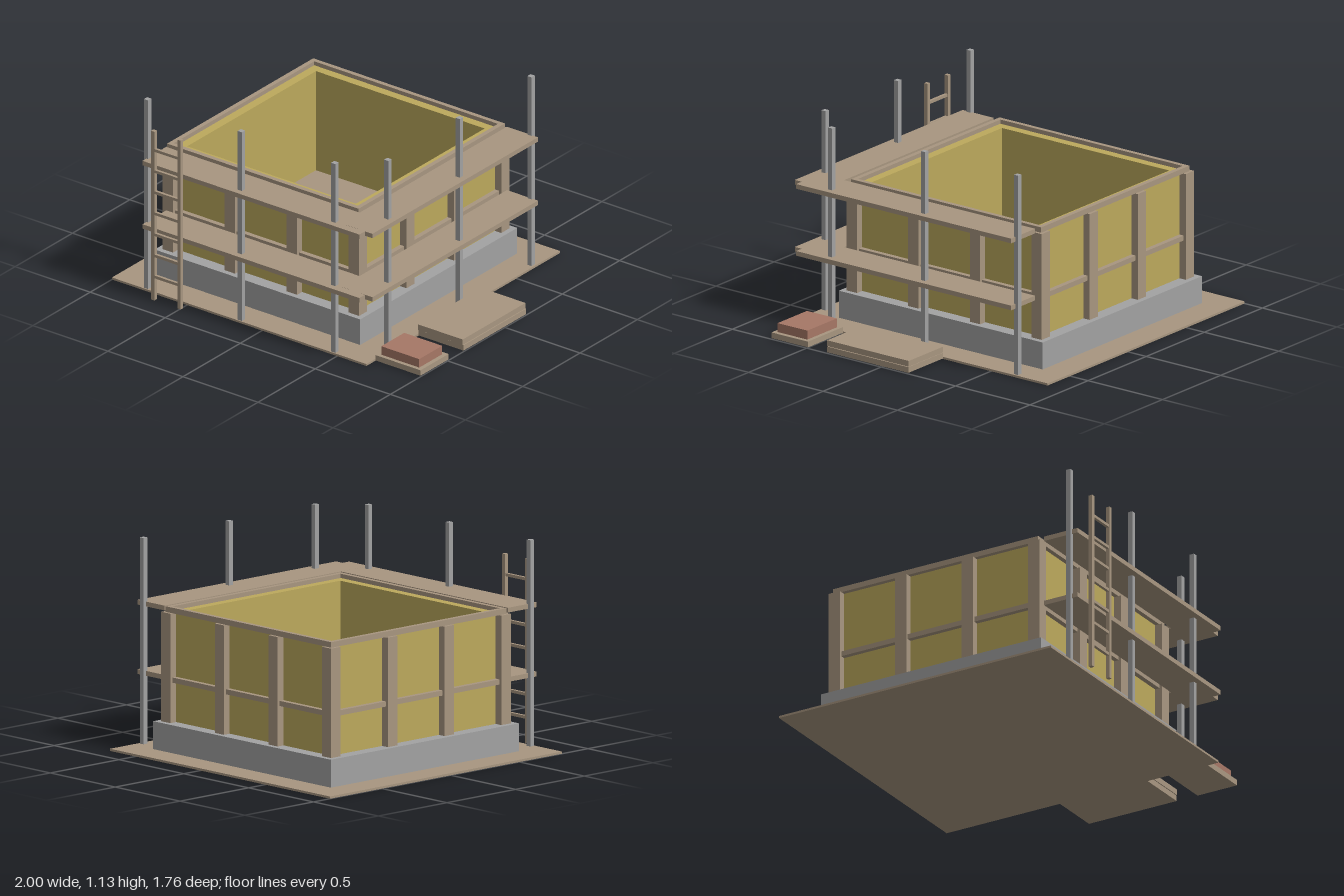
import * as THREE from 'three';

const mat = (name, color) => Object.assign(new THREE.MeshStandardMaterial({ color }), { name });

export function createModel() {
  const timber = mat('timber', 0xa89680);
  const concrete = mat('concreteAndSteel', 0xa2a2a2);
  const plywood = mat('yellowPanel', 0xbca95c);
  const brick = mat('brick', 0xa67766);

  const root = new THREE.Group();
  root.name = 'constructionSite';
  const group = (name) => {
    const g = new THREE.Group();
    g.name = name;
    root.add(g);
    return g;
  };

  // Box given by its limits on each axis
  const box = (parent, name, material, [x0, x1], [y0, y1], [z0, z1]) => {
    const m = new THREE.Mesh(new THREE.BoxGeometry(x1 - x0, y1 - y0, z1 - z0), material);
    m.position.set((x0 + x1) / 2, (y0 + y1) / 2, (z0 + z1) / 2);
    m.name = name;
    parent.add(m);
    return m;
  };

  // Square ring with a square hole, standing between two heights
  const square = (target, h) => {
    target.moveTo(-h, -h);
    target.lineTo(h, -h);
    target.lineTo(h, h);
    target.lineTo(-h, h);
    target.closePath();
    return target;
  };
  const ring = (parent, name, material, outer, inner, y0, y1) => {
    const shape = square(new THREE.Shape(), outer);
    shape.holes.push(square(new THREE.Path(), inner));
    const geo = new THREE.ExtrudeGeometry(shape, { depth: y1 - y0, bevelEnabled: false });
    geo.rotateX(-Math.PI / 2);
    const m = new THREE.Mesh(geo, material);
    m.position.y = y0;
    m.name = name;
    parent.add(m);
  };

  // Ground sheet
  box(root, 'ground', timber, [-1, 0.695], [0, 0.012], [-0.88, 0.81]);

  // Building: foundation, floor, walls and framing
  const house = group('building');
  house.position.set(-0.153, 0, -0.035);
  const span = (h) => [-h, h];
  box(house, 'foundation', concrete, span(0.685), [0.004, 0.163], span(0.685));
  box(house, 'floor', timber, span(0.57), [0.16, 0.176], span(0.57));
  ring(house, 'walls', plywood, 0.612, 0.562, 0.163, 0.762);
  ring(house, 'middleRail', timber, 0.64, 0.605, 0.38, 0.408);
  ring(house, 'topRail', timber, 0.638, 0.612, 0.755, 0.785);

  // Studs: four to a side, corners shared
  const steps = [-0.62, -0.207, 0.207, 0.62];
  for (const x of steps) for (const z of steps) {
    if (Math.max(Math.abs(x), Math.abs(z)) < 0.6) continue;
    box(house, 'stud', timber, [x - 0.035, x + 0.035], [0.163, 0.755], [z - 0.035, z + 0.035]);
  }

  // Scaffold: two storeys of decks around the front and left side
  const scaffold = group('scaffold');
  for (const y of [0.38, 0.755]) {
    box(scaffold, 'frontDeck', timber, [-0.775, 0.67], [y, y + 0.026], [0.63, 0.838]);
    box(scaffold, 'sideDeck', timber, [0.513, 0.72], [y + 0.0005, y + 0.0265], [-0.655, 0.79]);
  }
  const posts = [[-0.778, 0.79], [-0.153, 0.79], [0.47, 0.79], [0.67, 0.59], [0.67, -0.035], [0.67, -0.66]];
  for (const [x, z] of posts) {
    box(scaffold, 'post', concrete, [x - 0.014, x + 0.014], [0.002, 1.128], [z - 0.014, z + 0.014]);
  }

  // Ladder
  const ladder = group('ladder');
  for (const x of [-0.678, -0.503]) {
    box(ladder, 'ladderRail', timber, [x - 0.011, x + 0.011], [0.002, 1], [0.854, 0.876]);
  }
  for (let i = 0; i < 7; i++) {
    const y = 0.14 + i * 0.1247;
    box(ladder, 'rung', timber, [-0.67, -0.51], [y - 0.008, y + 0.008], [0.857, 0.873]);
  }

  // Stacked boards and a pallet of bricks
  const stock = group('materials');
  box(stock, 'lowerBoards', timber, [0.7, 1], [0.006, 0.038], [-0.183, 0.362]);
  box(stock, 'upperBoards', timber, [0.7, 0.997], [0.04, 0.072], [-0.183, 0.365]);
  box(stock, 'pallet', timber, [0.7, 1], [0.006, 0.038], [0.492, 0.737]);
  box(stock, 'brickStack', brick, [0.722, 0.975], [0.038, 0.088], [0.515, 0.715]);

  return root;
}
